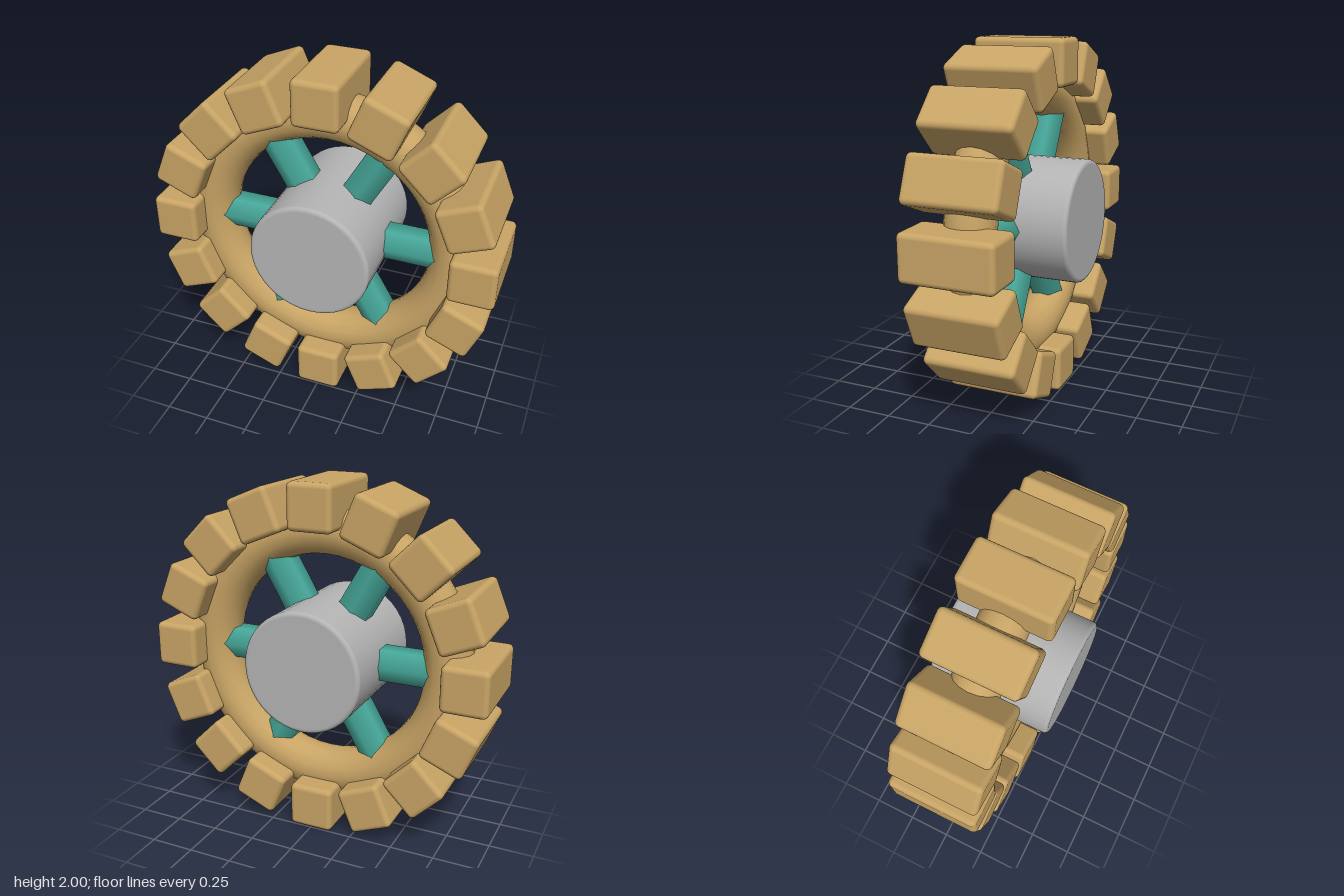
import * as THREE from 'three';
import { RoundedBoxGeometry } from 'three/addons/geometries/RoundedBoxGeometry.js';

const material = (name, color) => {
  const m = new THREE.MeshStandardMaterial({ color });
  m.name = name;
  return m;
};

export function createModel() {
  const tan = material('tan', 0xc8a465);
  const teal = material('teal', 0x46a698);
  const grey = material('grey', 0xb4b4b4);

  const wheel = new THREE.Group();
  wheel.name = 'wheel';
  wheel.position.y = 1;

  const add = (name, geometry, mat) => {
    const mesh = new THREE.Mesh(geometry, mat);
    mesh.name = name;
    wheel.add(mesh);
    return mesh;
  };

  // Places a part at a radius and angle, its local y pointing outwards
  const addRadial = (name, geometry, mat, radius, angle) => {
    const mesh = add(name, geometry, mat);
    mesh.position.set(Math.cos(angle) * radius, Math.sin(angle) * radius, 0);
    mesh.rotation.z = angle - Math.PI / 2;
  };

  // Rim
  add('rim', new THREE.TorusGeometry(0.72, 0.136, 16, 48), tan);

  // Tread blocks
  const blockGeometry = new RoundedBoxGeometry(0.26, 0.26, 0.52, 3, 0.03);
  for (let i = 0; i < 16; i++) {
    addRadial(`treadBlock${i + 1}`, blockGeometry, tan, 0.87, (i * Math.PI) / 8);
  }

  // Six-sided spokes running from the hub into the rim
  const spokeGeometry = new THREE.CylinderGeometry(0.104, 0.104, 0.52, 6);
  for (let i = 0; i < 6; i++) {
    addRadial(`spoke${i + 1}`, spokeGeometry, teal, 0.46, (i * Math.PI) / 3);
  }

  // Hub drum with softly rounded edges
  const radius = 0.345, half = 0.365, bevel = 0.022;
  const edge = [new THREE.Vector2(radius - bevel - 0.004, half)];
  for (let i = 0; i <= 4; i++) {
    const a = ((4 - i) * Math.PI) / 8;
    edge.push(new THREE.Vector2(radius - bevel + bevel * Math.cos(a), half - bevel + bevel * Math.sin(a)));
  }
  const profile = [
    new THREE.Vector2(0, -half),
    ...edge.map((p) => new THREE.Vector2(p.x, -p.y)),
    ...edge.reverse(),
    new THREE.Vector2(0, half),
  ];
  add('hub', new THREE.LatheGeometry(profile, 40).rotateX(Math.PI / 2), grey);

  const model = new THREE.Group();
  model.name = 'cogWheel';
  model.add(wheel);
  return model;
}
